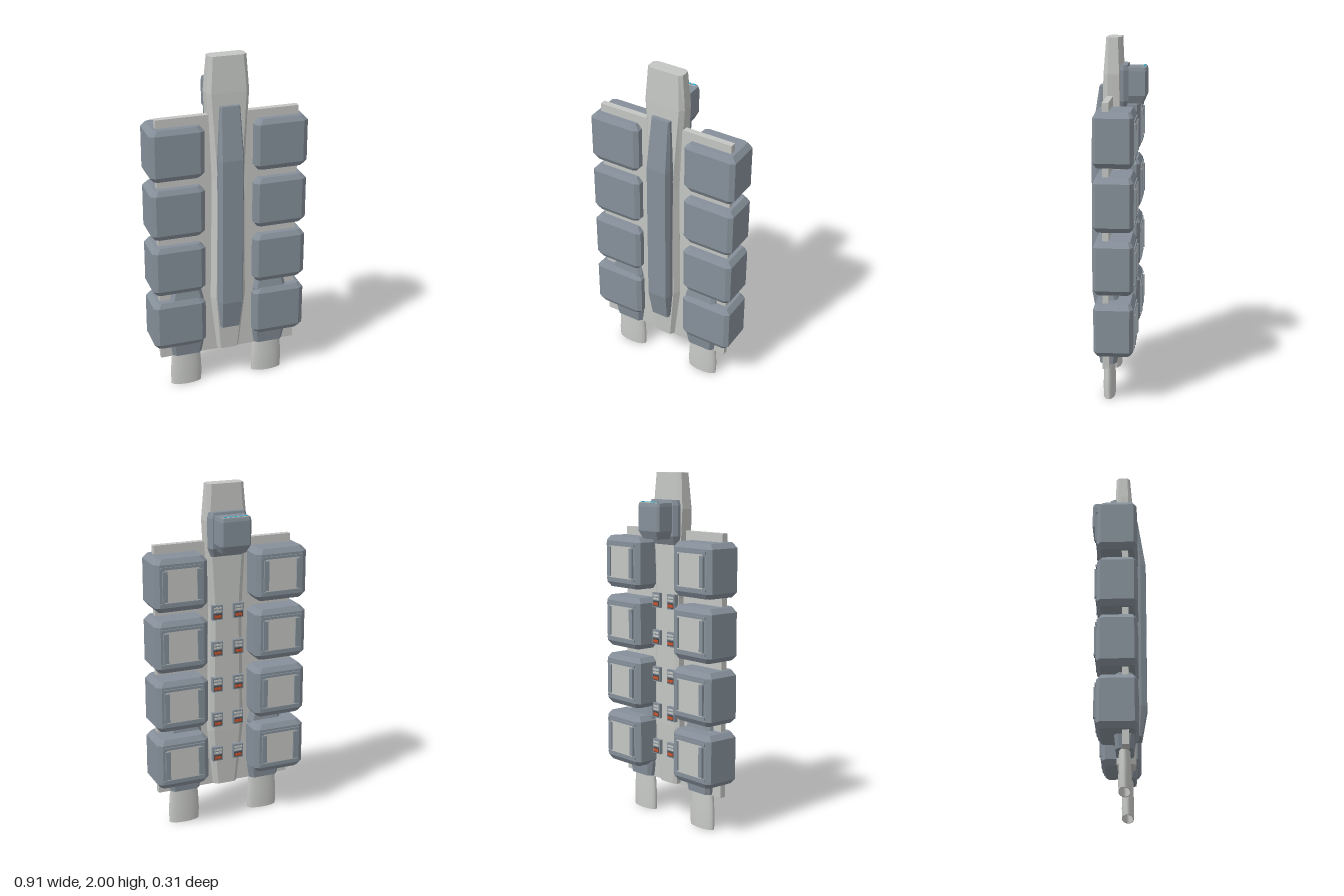
import * as THREE from 'three';
import { toCreasedNormals } from 'three/addons/utils/BufferGeometryUtils.js';

const mat = (name, color, opts = {}) => {
  const m = new THREE.MeshStandardMaterial({ color, ...opts });
  m.name = name;
  return m;
};

// Loft of chamfered rectangles stacked along y.
// Section: [y, halfWidth, zBack, zFront, cutX, cutZBack, cutZFront]
function loft(sections) {
  const rings = sections.map(([y, w, b, f, cx, cb, cf]) => [
    [w, y, b + cb], [w, y, f - cf], [w - cx, y, f], [cx - w, y, f],
    [-w, y, f - cf], [-w, y, b + cb], [cx - w, y, b], [w - cx, y, b],
  ]);
  const pos = [];
  const tri = (...pts) => pts.forEach((p) => pos.push(...p));
  for (let s = 0; s < rings.length - 1; s++) {
    const lo = rings[s], hi = rings[s + 1];
    for (let i = 0; i < 8; i++) {
      const j = (i + 1) % 8;
      tri(lo[i], hi[i], hi[j]);
      tri(lo[i], hi[j], lo[j]);
    }
  }
  const bot = rings[0], top = rings[rings.length - 1];
  for (let i = 1; i < 7; i++) {
    tri(top[0], top[i + 1], top[i]);
    tri(bot[0], bot[i], bot[i + 1]);
  }
  const g = new THREE.BufferGeometry();
  g.setAttribute('position', new THREE.Float32BufferAttribute(pos, 3));
  g.computeVertexNormals();
  return g;
}

export function createModel() {
  const root = new THREE.Group();
  root.name = 'podPack';
  const light = mat('light hull grey', 0xc4c6c3);
  const slate = mat('slate grey', 0x86909a);
  const dark = mat('dark grey', 0x4a4f55);
  const orange = mat('orange', 0xc8532c);
  const cyan = mat('cyan light', 0x35b5d8);
  const shell = mat('nozzle grey', 0xc8cac7, { side: THREE.DoubleSide });

  const add = (parent, name, geo, material, x = 0, y = 0, z = 0) => {
    const m = new THREE.Mesh(geo, material);
    m.name = name;
    m.position.set(x, y, z);
    parent.add(m);
    return m;
  };
  const box = (parent, name, material, w, h, d, x, y, z) =>
    add(parent, name, new THREE.BoxGeometry(w, h, d), material, x, y, z);

  // Central spine, flared near the top and tapered at the foot
  add(root, 'spine', loft([
    [0.215, 0.07, -0.012, 0.09, 0.02, 0.015, 0.03],
    [0.56, 0.105, -0.022, 0.1, 0.025, 0.015, 0.035],
    [1.3, 0.095, -0.022, 0.1, 0.025, 0.015, 0.035],
    [1.8, 0.122, -0.02, 0.083, 0.022, 0.015, 0.025],
    [2.0, 0.106, -0.012, 0.068, 0.02, 0.015, 0.015],
  ]), light);

  // Raised keel along the front of the spine
  add(root, 'keel', loft([
    [0.375, 0.056, 0.07, 0.125, 0.006, 0.006, 0.012],
    [0.55, 0.073, 0.07, 0.155, 0.014, 0.006, 0.03],
    [1.43, 0.073, 0.07, 0.155, 0.014, 0.006, 0.03],
    [1.73, 0.056, 0.07, 0.11, 0.006, 0.006, 0.008],
  ]), slate);

  // Flat rack that carries the pods
  box(root, 'rackPlate', light, 0.82, 1.475, 0.035, 0, 0.9425, 0.047);

  // Four storage pods on each side, with doors on the back
  const podGeo = loft([
    [-0.149, 0.129, -0.088, 0.098, 0.02, 0.012, 0.012],
    [-0.12, 0.155, -0.106, 0.113, 0.027, 0.02, 0.016],
    [0.12, 0.155, -0.106, 0.113, 0.027, 0.02, 0.016],
    [0.149, 0.129, -0.088, 0.098, 0.02, 0.012, 0.012],
  ]);
  for (const side of [-1, 1]) {
    for (let i = 0; i < 4; i++) {
      const pod = new THREE.Group();
      pod.name = 'pod';
      pod.position.set(side * 0.3, 0.434 + i * 0.3495, 0);
      root.add(pod);
      add(pod, 'podBody', podGeo, slate);
      box(pod, 'doorPanel', light, 0.2, 0.19, 0.006, 0, 0, -0.108);
      for (const s of [-1, 1]) {
        box(pod, 'doorFrame', slate, 0.25, 0.014, 0.009, 0, s * 0.1, -0.108);
        box(pod, 'doorRail', slate, 0.028, 0.17, 0.014, s * 0.1, 0, -0.112);
      }
    }
  }

  // Thruster housings and hollow oval nozzles
  const housing = loft([
    [0.21, 0.088, -0.008, 0.085, 0.02, 0.02, 0.02],
    [0.29, 0.1, -0.015, 0.095, 0.02, 0.02, 0.02],
    [0.58, 0.1, -0.015, 0.095, 0.02, 0.02, 0.02],
    [0.64, 0.085, -0.005, 0.085, 0.02, 0.02, 0.02],
  ]);
  const profile = [
    [0.07, 0.14], [0.081, 0], [0.092, 0], [0.095, 0.06], [0.092, 0.13], [0.085, 0.22],
  ].map(([r, y]) => new THREE.Vector2(r, y));
  const nozzleGeo = toCreasedNormals(new THREE.LatheGeometry(profile, 20), 0.7);
  for (const side of [-1, 1]) {
    add(root, 'thrusterHousing', housing, slate, side * 0.252);
    add(root, 'nozzle', nozzleGeo, shell, side * 0.252, 0, 0.038).scale.z = 0.36;
    const core = add(root, 'nozzleCore', new THREE.CylinderGeometry(0.073, 0.073, 0.006, 20),
      dark, side * 0.252, 0.13, 0.038);
    core.scale.z = 0.36;
  }

  // Sensor head on a bracket behind the top of the spine
  add(root, 'headBracket', loft([
    [1.6, 0.095, -0.03, -0.005, 0.015, 0.012, 0.005],
    [1.65, 0.113, -0.054, -0.005, 0.015, 0.025, 0.005],
    [1.82, 0.113, -0.054, -0.005, 0.015, 0.025, 0.005],
    [1.85, 0.105, -0.048, -0.005, 0.015, 0.02, 0.005],
  ]), slate);
  add(root, 'sensorHead', loft([
    [1.635, 0.07, -0.135, -0.045, 0.012, 0.01, 0.004],
    [1.68, 0.09, -0.155, -0.045, 0.012, 0.01, 0.004],
    [1.815, 0.09, -0.155, -0.045, 0.012, 0.01, 0.004],
    [1.835, 0.087, -0.15, -0.045, 0.012, 0.01, 0.004],
  ]), slate);
  for (let i = -2; i <= 2; i++) {
    box(root, 'lampFrame', light, 0.024, 0.006, 0.016, i * 0.03, 1.836, -0.139);
    box(root, 'lamp', cyan, 0.018, 0.008, 0.011, i * 0.03, 1.838, -0.139);
  }

  // Two columns of control modules on the back of the spine
  for (const side of [-1, 1]) {
    for (let i = 0; i < 5; i++) {
      const unit = new THREE.Group();
      unit.name = 'controlModule';
      unit.position.set(side * 0.064, 0.42 + i * 0.215, -0.026);
      root.add(unit);
      box(unit, 'moduleBody', slate, 0.062, 0.085, 0.026, 0, 0, 0);
      for (const y of [0.026, 0.008]) {
        box(unit, 'moduleSlot', light, 0.046, 0.01, 0.006, 0, y, -0.013);
      }
      box(unit, 'moduleRecess', dark, 0.05, 0.032, 0.004, 0, -0.02, -0.013);
      box(unit, 'moduleSwitch', orange, 0.042, 0.016, 0.008, 0, -0.022, -0.014);
    }
  }
  return root;
}
